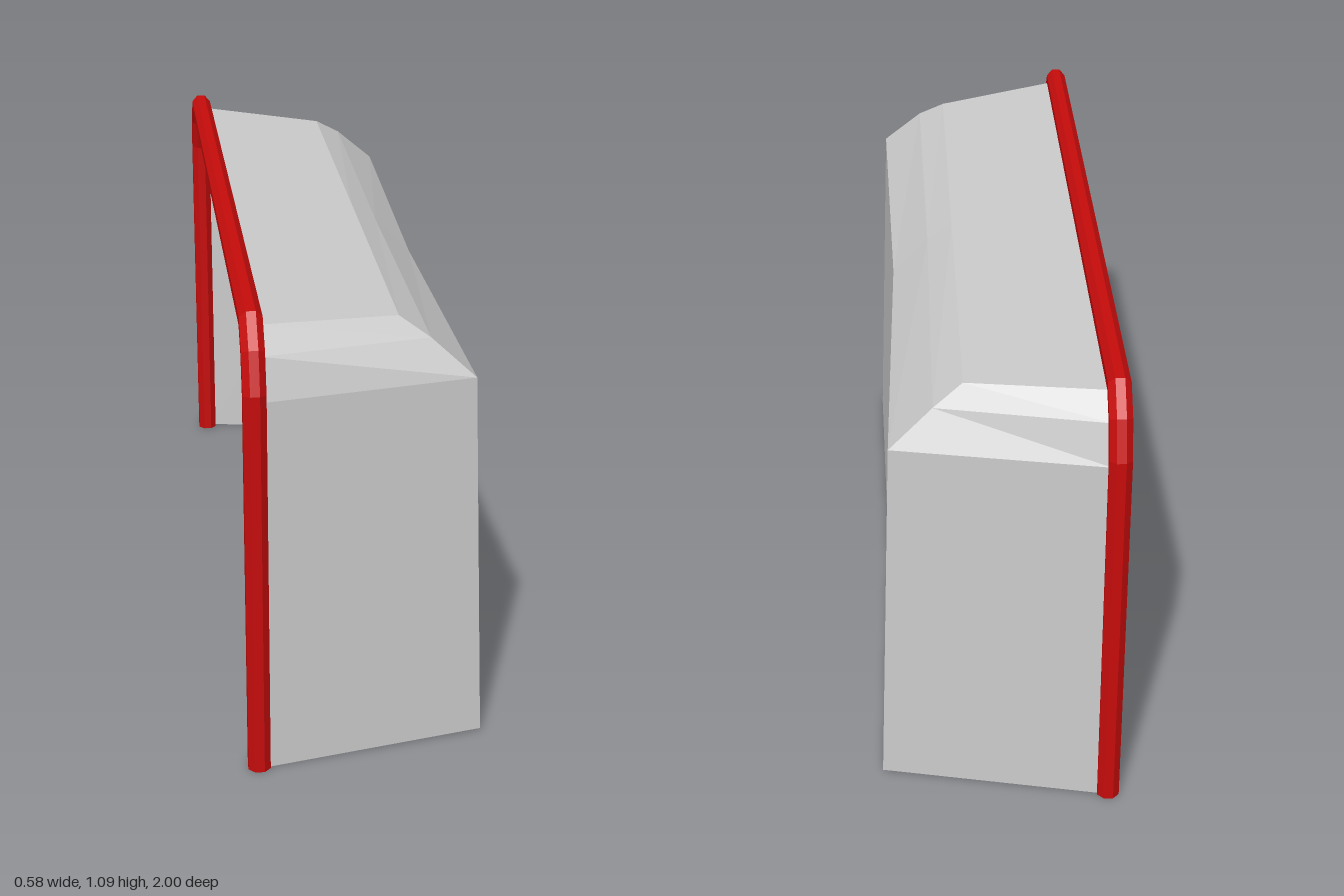
import * as THREE from 'three';

const grey = new THREE.MeshStandardMaterial({ color: 0xcccccc, flatShading: true, side: THREE.DoubleSide });
const red = new THREE.MeshStandardMaterial({ color: 0xc80c0c, flatShading: true });

// Skin a list of equally long point rows with quads.
function loft(rows) {
  const n = rows[0].length, index = [];
  for (let r = 0; r < rows.length - 1; r++) {
    for (let i = 0; i < n - 1; i++) {
      const a = r * n + i, b = a + n;
      index.push(a, b, a + 1, a + 1, b, b + 1);
    }
  }
  const g = new THREE.BufferGeometry();
  g.setAttribute('position', new THREE.Float32BufferAttribute(rows.flat(2), 3));
  g.setIndex(index);
  const flat = g.toNonIndexed();
  flat.computeVertexNormals();
  return flat;
}

// Follow a half profile up the +z side, then its mirror down the -z side.
const mirrorZ = ([x, y, z]) => [x, y, -z];
const mirrored = half => [...half, ...half.slice().reverse().map(mirrorZ)];

// Mitred octagonal pipe along a path of [x, y, z] points at constant x.
function pipe(path, radius, sides = 8) {
  const x = path[0][0];
  const pts = path.map(([, y, z]) => new THREE.Vector2(z, y));
  const last = pts.length - 1;
  const rings = pts.map((p, i) => {
    const d0 = p.clone().sub(pts[Math.max(i - 1, 0)]).normalize();
    const d1 = pts[Math.min(i + 1, last)].clone().sub(p).normalize();
    const t = d0.clone().add(d1).normalize();
    const miter = 1 / t.dot(i ? d0 : d1);
    return Array.from({ length: sides + 1 }, (_, k) => {
      const a = -(k + 0.5) / sides * Math.PI * 2;
      const off = Math.sin(a) * radius * miter;
      return [x + Math.cos(a) * radius, p.y + t.x * off, p.x - t.y * off];
    });
  });
  // close both ends
  const cap = p => Array(sides + 1).fill(p);
  return loft([cap(path[0]), ...rings, cap(path[last])]);
}

export function createModel() {
  const model = new THREE.Group();
  const goal = new THREE.Group();
  goal.name = 'goal';
  const add = (name, geometry, material) => {
    const m = new THREE.Mesh(geometry, material);
    m.name = name;
    goal.add(m);
  };

  // Red posts and crossbar in one bent pipe
  const frame = [[-0.252, 0, 0.974], [-0.252, 0.92, 0.972], [-0.252, 1.005, 0.946], [-0.252, 1.06, 0.9]];
  add('goalFrame', pipe(mirrored(frame), 0.0275), red);

  // Net sides and roof: from the mouth rim back to the rear rim
  const mouth = [[-0.235, 0, 0.98], [-0.235, 0.9, 0.973], [-0.235, 0.995, 0.947], [-0.235, 1.05, 0.9]];
  const rear = [[0.277, 0.005, 0.88], [0.245, 0.895, 0.872], [0.146, 0.983, 0.845], [0.079, 1.025, 0.811]];
  add('netSidesAndRoof', loft([mirrored(mouth), mirrored(rear)]), grey);

  // Net back: rear rim joined across a middle line that dips inwards
  const dip = [0.017, 0.017, 0.006, 0];
  const middle = rear.map(([x, y], i) => [x - dip[i], y, 0]);
  add('netBack', loft([rear, middle, rear.map(mirrorZ)]), grey);

  // The whole goal stands turned by a hair
  goal.rotation.y = -0.0125;
  model.add(goal);
  return model;
}
